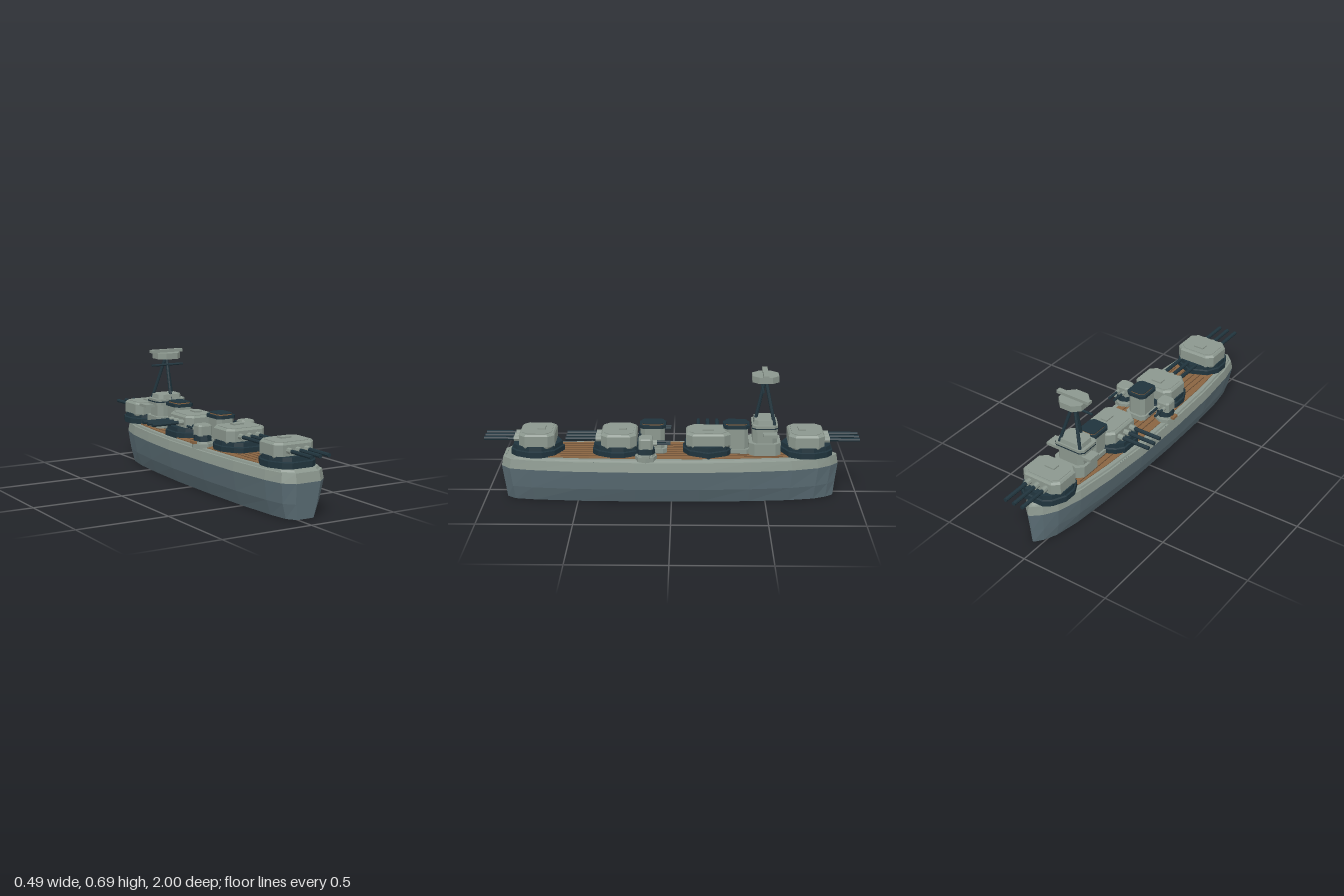
import * as THREE from 'three';

const mat = (name, color, side = THREE.FrontSide) =>
  Object.assign(new THREE.MeshStandardMaterial({ color, side, flatShading: true }), { name });
const grey = mat('light grey paint', 0x8c988f, THREE.DoubleSide);
const hullBlue = mat('hull blue grey', 0x5d7078, THREE.DoubleSide);
const dark = mat('dark steel', 0x20343d, THREE.DoubleSide);
const wood = mat('deck wood', 0x8a6542);
const seam = mat('plank seam', 0x5f4630);
const CX = 0.046; // centreline of the ship

// Mirrors a half outline of [x, z] points (front to back) into a closed ring
const mirror = half => [...half, ...half.filter(p => p[0] > 0).reverse().map(([x, z]) => [-x, z])];

// Skins one outline through levels of [y, xScale, zScale], optionally capped on top
function loft(outline, levels, cap = true) {
  const v = [];
  const rings = levels.map(([y, sx, sz]) => outline.map(([x, z]) => [x * sx, y, z * sz]));
  const n = outline.length;
  for (let k = 0; k < rings.length - 1; k++) {
    for (let i = 0; i < n; i++) {
      const j = (i + 1) % n, lo = rings[k], up = rings[k + 1];
      v.push(...lo[i], ...lo[j], ...up[j], ...lo[i], ...up[j], ...up[i]);
    }
  }
  const top = rings[rings.length - 1];
  if (cap) for (let i = 1; i < n - 1; i++) v.push(...top[0], ...top[i], ...top[i + 1]);
  const g = new THREE.BufferGeometry();
  g.setAttribute('position', new THREE.Float32BufferAttribute(v, 3));
  g.computeVertexNormals();
  return g;
}

function add(parent, name, geometry, material, x = 0, y = 0, z = 0) {
  const m = new THREE.Mesh(geometry, material);
  m.name = name;
  m.position.set(x, y, z);
  parent.add(m);
  return m;
}
const box = (w, h, d) => new THREE.BoxGeometry(w, h, d);

// Rectangle with cut corners
const chamfered = (hx, hz, c) =>
  mirror([[hx - c, hz], [hx, hz - c], [hx, c - hz], [hx - c, -hz]]);

// Round bar between two points
function bar(parent, name, a, b, r, material, sides = 8) {
  const p = new THREE.Vector3(...a), q = new THREE.Vector3(...b);
  const d = q.clone().sub(p);
  const m = add(parent, name, new THREE.CylinderGeometry(r, r, d.length(), sides), material);
  m.position.copy(p).add(q).multiplyScalar(0.5);
  m.quaternion.setFromUnitVectors(new THREE.Vector3(0, 1, 0), d.normalize());
  return m;
}

function hull(ship) {
  const outline = mirror([
    [0.072, 0.908], [0.125, 0.86], [0.15, 0.75], [0.175, 0.5], [0.185, 0.2], [0.183, -0.15],
    [0.165, -0.42], [0.138, -0.64], [0.1, -0.78], [0.055, -0.85], [0.006, -0.893],
  ]);
  add(ship, 'lowerHull', loft(outline, [[0, 0.67, 0.975], [0.08, 0.87, 0.985], [0.185, 1, 1]], false), hullBlue);
  add(ship, 'upperHull', loft(outline, [[0.185, 1, 1], [0.235, 0.95, 0.99], [0.237, 0.91, 0.975]], false), grey);
  add(ship, 'deckUnderside', loft(outline, [[0.234, 0.93, 0.98], [0.236, 0.93, 0.98]]), dark);
  add(ship, 'gunwale', loft(outline, [[0.236, 0.91, 0.975], [0.246, 0.89, 0.965]]), grey);
  add(ship, 'woodDeck', loft(outline, [[0.245, 0.76, 0.94], [0.25, 0.76, 0.94]]), wood);
  for (let i = -3; i <= 3; i++) {
    add(ship, 'plankSeam', box(0.004, 0.003, 1.45 - Math.abs(i) * 0.09), seam, i * 0.032, 0.25, 0);
  }
}

// Triple-gun turret facing +z before rotation
function turret(ship, z, turn) {
  const t = new THREE.Group();
  t.name = 'mainTurret';
  t.position.z = z;
  t.rotation.y = turn;
  ship.add(t);
  const base = mirror([[0.06, 0.14], [0.1, 0.11], [0.135, 0.04], [0.135, -0.03], [0.1, -0.095], [0, -0.14]]);
  add(t, 'turretBase', loft(base, [[0.246, 1, 1], [0.276, 1, 1], [0.28, 0.94, 0.94], [0.302, 0.92, 0.92]]), dark);
  add(t, 'gunHouse', loft(chamfered(0.118, 0.095, 0.034),
    [[0.292, 0.97, 0.97], [0.3, 1, 1], [0.358, 1, 1], [0.368, 0.93, 0.92]]), grey);
  add(t, 'roofPlate', loft(chamfered(0.1, 0.078, 0.03), [[0.367, 1, 1], [0.371, 1, 1]]), grey);
  add(t, 'roofHatch', box(0.06, 0.01, 0.04), grey, 0, 0.374, -0.02);
  for (const x of [-0.052, 0, 0.052]) {
    bar(t, 'mantlet', [x, 0.33, 0.08], [x, 0.33, 0.125], 0.016, grey);
    bar(t, 'gunBarrel', [x, 0.33, 0.1], [x, 0.33, 0.285], 0.0105, dark);
  }
}

function funnel(ship, z) {
  const f = new THREE.Group();
  f.name = 'funnel';
  f.position.z = z;
  ship.add(f);
  add(f, 'funnelFoot', loft(chamfered(0.062, 0.075, 0.02), [[0.246, 1, 1], [0.275, 1, 1]]), grey);
  add(f, 'funnelBody', loft(chamfered(0.052, 0.062, 0.02), [[0.27, 1, 1], [0.39, 1, 1]]), grey);
  add(f, 'funnelCap', loft(chamfered(0.058, 0.07, 0.02), [[0.386, 1, 1], [0.403, 1, 1]]), dark);
  add(f, 'funnelBand', loft(chamfered(0.044, 0.056, 0.015), [[0.402, 1, 1], [0.41, 1, 1]]), wood);
  add(f, 'funnelLid', loft(chamfered(0.046, 0.058, 0.015), [[0.409, 1, 1], [0.413, 1, 1]]), dark);
}

// Small twin mount on each beam, guns pointing to the bow
function sideMount(ship, s) {
  const g = new THREE.Group();
  g.name = 'sideGunMount';
  g.position.set(s * 0.134, 0, 0.135);
  ship.add(g);
  add(g, 'sponson', new THREE.CylinderGeometry(0.058, 0.058, 0.026, 8), grey, 0, 0.254, 0);
  add(g, 'sponsonStep', new THREE.CylinderGeometry(0.045, 0.05, 0.016, 8), grey, 0, 0.274, 0);
  add(g, 'mountRing', new THREE.CylinderGeometry(0.046, 0.05, 0.032, 8), dark, 0, 0.295, 0);
  add(g, 'mountHouse', loft(chamfered(0.04, 0.038, 0.012),
    [[0.308, 1, 1], [0.358, 1, 1], [0.366, 0.88, 0.88]]), grey);
  add(g, 'ammoBox', box(0.02, 0.014, 0.04), s < 0 ? wood : grey, s * 0.056, 0.274, 0);
  for (const x of [-0.017, 0.017]) {
    bar(g, 'mantlet', [x, 0.335, -0.03], [x, 0.335, -0.06], 0.011, grey);
    bar(g, 'smallBarrel', [x, 0.335, -0.04], [x, 0.335, -0.13], 0.007, dark);
  }
}

function bridge(ship) {
  const b = new THREE.Group();
  b.name = 'bridge';
  b.position.z = -0.495;
  ship.add(b);
  add(b, 'bridgeBase', loft(chamfered(0.095, 0.085, 0.03), [[0.246, 1, 1], [0.315, 1, 1]]), grey);
  add(b, 'bridgeTower', loft(chamfered(0.08, 0.065, 0.025), [[0.31, 1, 1], [0.385, 1, 1]]), grey);
  add(b, 'bridgeWing', box(0.28, 0.016, 0.075), grey, 0, 0.373, -0.025);
  add(b, 'bridgeDeck', loft(chamfered(0.092, 0.068, 0.02), [[0.38, 1, 1], [0.414, 1, 1]]), grey);
  add(b, 'windowBand', loft(chamfered(0.0935, 0.0695, 0.02), [[0.395, 1, 1], [0.402, 1, 1]], false), dark);
  add(b, 'bridgeRoof', loft(chamfered(0.074, 0.06, 0.022), [[0.413, 1, 1], [0.438, 0.94, 0.94]]), grey);
  // Tripod mast
  for (const [x, z] of [[-0.072, -0.055], [0.072, -0.055], [0, 0.058]]) {
    bar(b, 'mastLeg', [x, 0.385, z], [x * 0.04, 0.645, z * 0.04], 0.009, dark);
  }
  bar(b, 'yardArm', [-0.1, 0.604, 0.015], [0.1, 0.604, 0.015], 0.0065, dark);
  // Lookout top with rangefinder
  add(b, 'lookoutTop', loft(chamfered(0.071, 0.07, 0.035), [[0.64, 1, 1], [0.674, 1, 1]]), grey);
  const floor = add(b, 'lookoutFloor', new THREE.CylinderGeometry(0.07, 0.07, 0.004, 8), grey, 0, 0.642, 0);
  floor.rotation.y = Math.PI / 8;
  add(b, 'rangefinder', box(0.2, 0.017, 0.028), grey, 0, 0.682, 0);
}

export function createModel() {
  const model = new THREE.Group();
  model.name = 'battleship';
  const ship = new THREE.Group();
  ship.name = 'ship';
  ship.position.x = CX;
  model.add(ship);
  hull(ship);
  turret(ship, 0.715, 0);
  turret(ship, 0.28, 0);
  turret(ship, -0.195, -Math.PI / 2);
  turret(ship, -0.715, Math.PI);
  funnel(ship, 0.1);
  funnel(ship, -0.345);
  for (const s of [-1, 1]) sideMount(ship, s);
  bridge(ship);
  return model;
}
